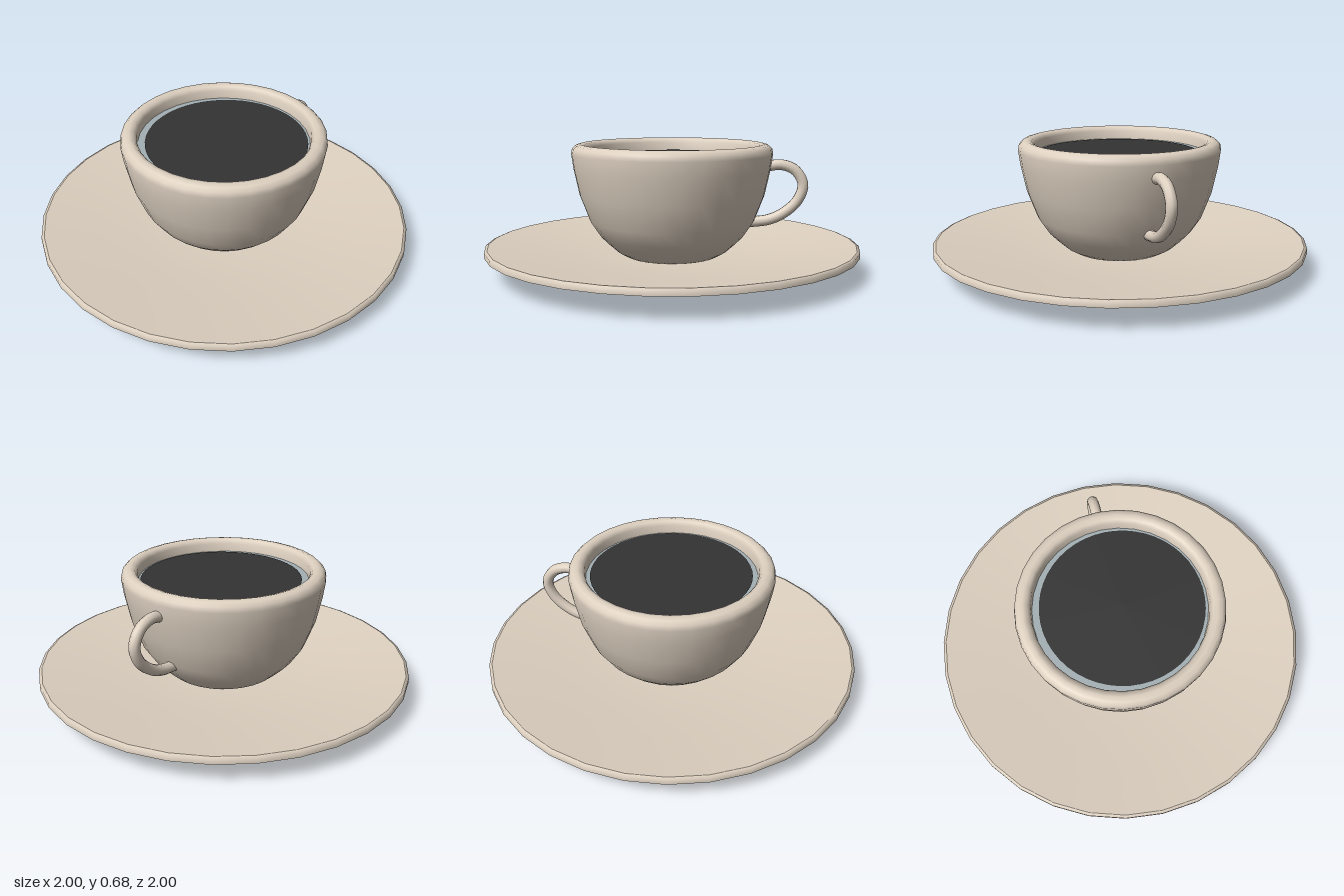
import * as THREE from 'three';

const SEGMENTS = 32;

export function createModel() {
  const model = new THREE.Group();
  model.name = 'cupAndSaucer';

  const makeMaterial = (name, color) => {
    const m = new THREE.MeshStandardMaterial({ color });
    m.name = name;
    return m;
  };
  const porcelain = makeMaterial('porcelain', 0xddd0c0);
  const coffeeDark = makeMaterial('coffeeDark', 0x333333);
  const foamGrey = makeMaterial('foamGrey', 0xa4b0b5);

  const add = (parent, name, geometry, material) => {
    const mesh = new THREE.Mesh(geometry, material);
    mesh.name = name;
    parent.add(mesh);
    return mesh;
  };
  // Profiles run from the underside outward, then up and back inward
  const lathe = (points) =>
    new THREE.LatheGeometry(points.map(([r, y]) => new THREE.Vector2(r, y)), SEGMENTS);

  // Saucer: separate surfaces keep the rim edges crisp
  const saucer = new THREE.Group();
  saucer.name = 'saucer';
  model.add(saucer);
  add(saucer, 'saucerUnderside', lathe([[0, 0], [0.2, 0], [0.33, 0.003], [0.38, 0.025], [0.7, 0.072], [1, 0.115]]), porcelain);
  add(saucer, 'saucerEdge', lathe([[1, 0.115], [1, 0.142], [0.985, 0.148]]), porcelain);
  add(saucer, 'saucerTop', lathe([[0.985, 0.148], [0.85, 0.131], [0.7, 0.113], [0.5, 0.09], [0.3, 0.075], [0, 0.07]]), porcelain);

  // Cup: rounded bowl with a thick rolled lip and an inner wall
  const cup = new THREE.Group();
  cup.name = 'cup';
  model.add(cup);
  add(cup, 'cupBowl', lathe([
    [0, 0.075], [0.25, 0.077], [0.3, 0.105], [0.35, 0.15], [0.39, 0.19], [0.444, 0.27],
    [0.497, 0.41], [0.527, 0.55], [0.538, 0.63], [0.533, 0.658], [0.515, 0.675], [0.49, 0.682],
    [0.467, 0.675], [0.453, 0.655], [0.45, 0.61], [0.43, 0.45], [0.37, 0.27], [0.25, 0.14], [0, 0.12],
  ]), porcelain);

  // Handle: a swept loop on the model's left
  const handlePath = new THREE.CatmullRomCurve3([
    [0.49, 0.56], [0.58, 0.573], [0.655, 0.545], [0.698, 0.47],
    [0.672, 0.385], [0.6, 0.315], [0.52, 0.277], [0.42, 0.262],
  ].map(([x, y]) => new THREE.Vector3(x, y, 0)));
  add(cup, 'handle', new THREE.TubeGeometry(handlePath, 28, 0.029, 10, false), porcelain);

  // Drink: pale outer film with the dark surface slightly off centre
  const film = add(cup, 'foamRing', new THREE.CircleGeometry(0.451, SEGMENTS), foamGrey);
  const coffee = add(cup, 'coffeeSurface', new THREE.CircleGeometry(0.425, 48), coffeeDark);
  for (const disc of [film, coffee]) disc.rotation.x = -Math.PI / 2;
  film.position.y = 0.61;
  coffee.position.set(0.006, 0.614, 0.012);

  return model;
}
